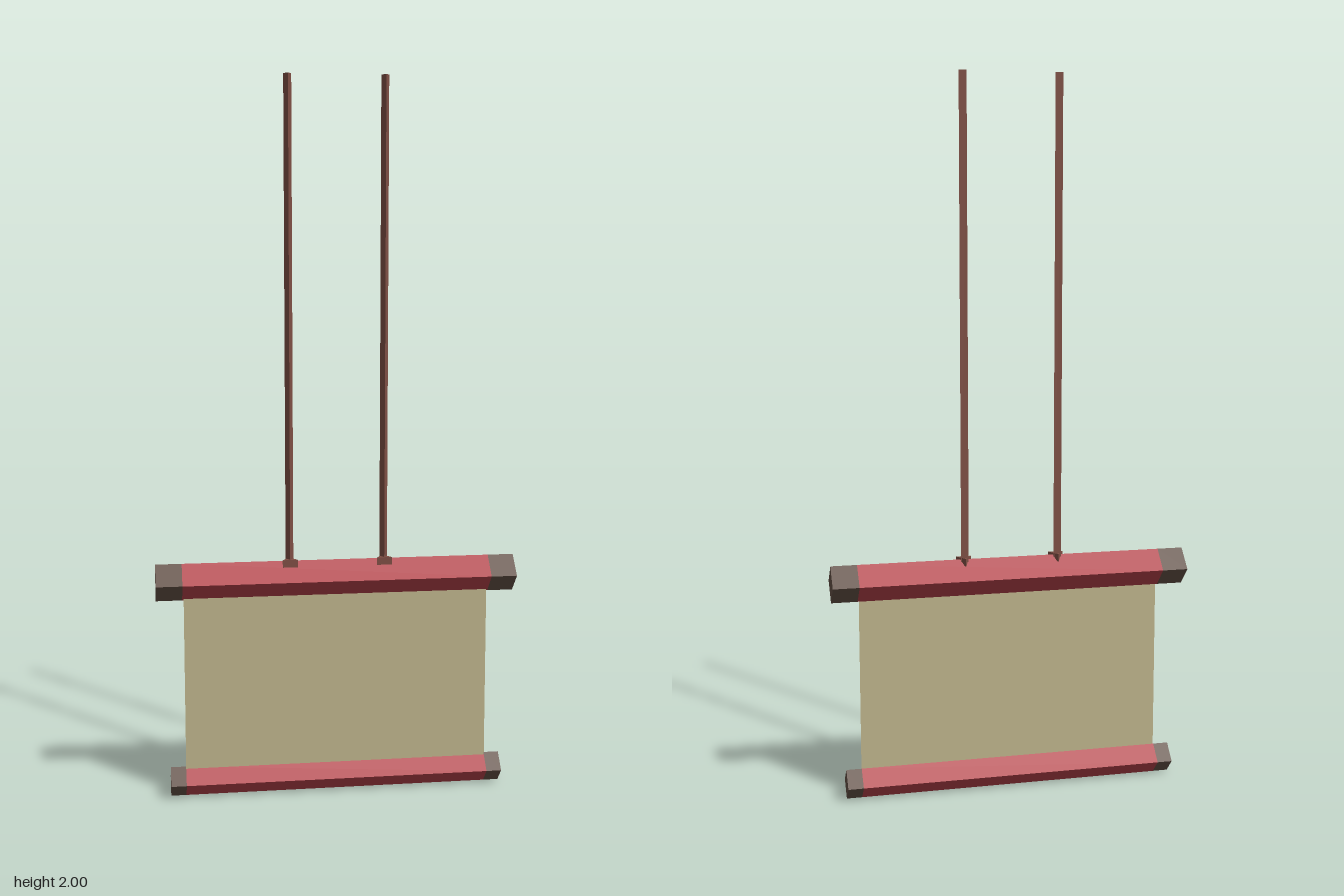
import * as THREE from 'three';

const flat = (name, color) => {
  const m = new THREE.MeshStandardMaterial({ color });
  m.name = name;
  return m;
};

export function createModel() {
  const red = flat('red', 0xb34048);
  const wood = flat('dark wood', 0x635045);
  const cordBrown = flat('cord brown', 0x7f4f44);
  const cloth = flat('cloth', 0xc0b68d);
  cloth.side = THREE.DoubleSide;

  const model = new THREE.Group();
  model.name = 'hangingBanner';

  const add = (parent, name, geometry, material, x, y, z) => {
    const mesh = new THREE.Mesh(geometry, material);
    mesh.name = name;
    mesh.position.set(x, y, z);
    parent.add(mesh);
    return mesh;
  };

  // Faceted prism standing on its axis, one corner towards +z
  const prism = (radius, length, sides) =>
    new THREE.CylinderGeometry(radius, radius, length, sides).toNonIndexed();
  const faceted = (radius, length, sides) => {
    const g = prism(radius, length, sides);
    g.computeVertexNormals();
    return g;
  };

  // Diamond-section bar: red middle and a wooden tip at each end
  const addBar = (name, y, radius, halfRed, halfLength) => {
    const bar = new THREE.Group();
    bar.name = name;
    const tip = halfLength - halfRed;
    add(bar, 'redMiddle', faceted(radius, halfRed * 2, 4).rotateZ(Math.PI / 2), red, 0, y, 0);
    for (const side of [1, -1]) {
      add(bar, side > 0 ? 'leftTip' : 'rightTip', faceted(radius, tip, 4).rotateZ(Math.PI / 2),
        wood, side * (halfRed + tip / 2), y, 0);
    }
    model.add(bar);
  };
  addBar('topBar', 0.618, 0.052, 0.434, 0.507);
  addBar('bottomBar', 0.042, 0.042, 0.43, 0.473);

  // Cloth sheet stretched between the bars
  add(model, 'clothSheet', new THREE.PlaneGeometry(0.86, 0.54), cloth, 0, 0.335, 0.005);

  // Triangular cords, each with a collar where it meets the top bar
  for (const side of [1, -1]) {
    const label = side > 0 ? 'left' : 'right';
    add(model, label + 'Cord', faceted(0.0125, 1.35, 3), cordBrown, side * 0.133, 1.325, 0);
    add(model, label + 'Collar', faceted(0.0245, 0.022, 3).rotateY(Math.PI),
      cordBrown, side * 0.133, 0.664, 0.004);
  }
  return model;
}
